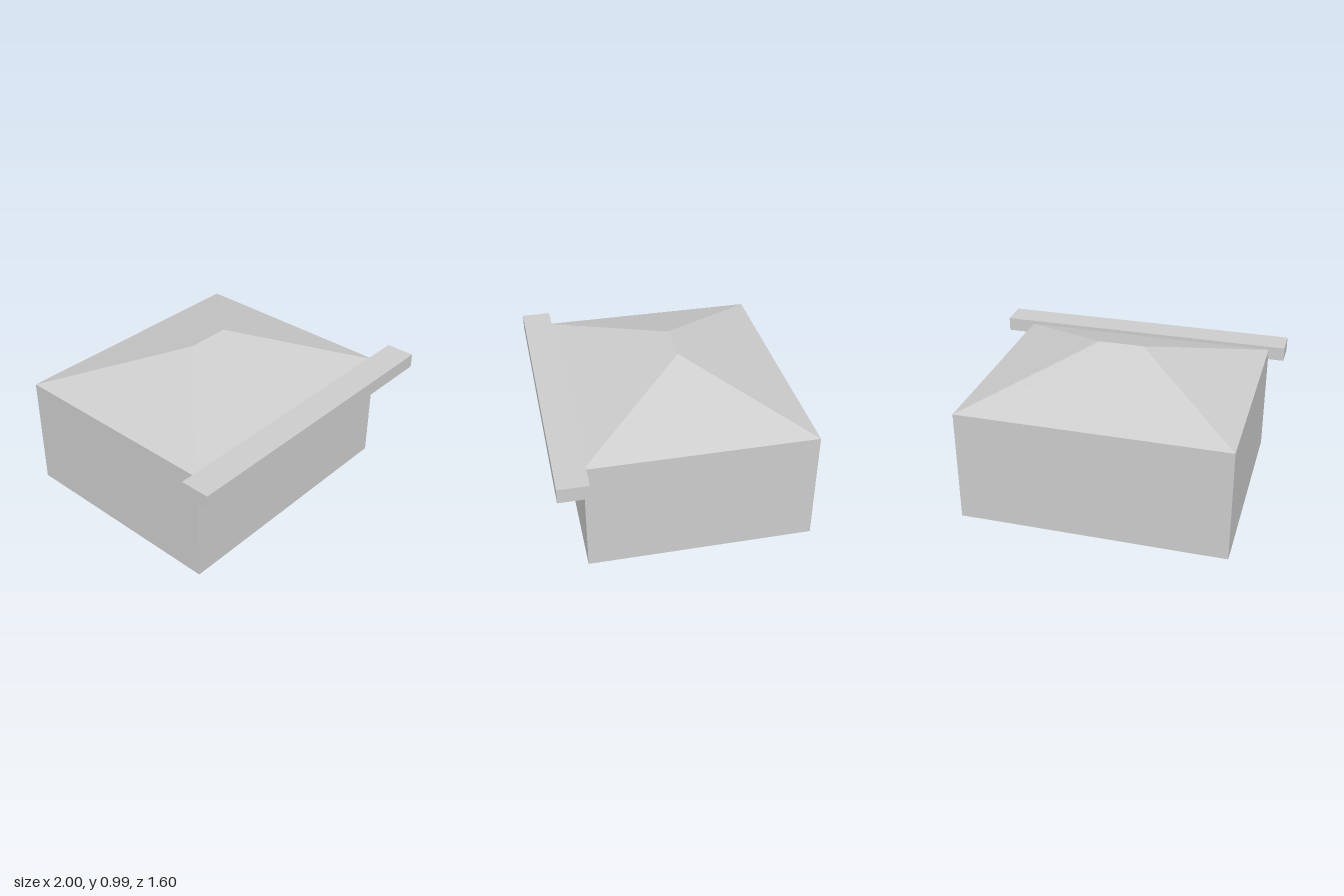
import * as THREE from 'three';

const grey = new THREE.MeshStandardMaterial({ color: 0xcccccc, side: THREE.DoubleSide, flatShading: true });
grey.name = 'plain grey';

// Four corners of a level rectangle, anticlockwise as seen from the front left around
const ring = ([x0, x1, z0, z1], y) => [[x0, y, z1], [x1, y, z1], [x1, y, z0], [x0, y, z0]];

// Shell joining two rectangles, open below and optionally closed on top
function shell(name, lowRect, lowY, highRect, highY, capped = false) {
  const a = ring(lowRect, lowY), b = ring(highRect, highY);
  const tris = [];
  for (let i = 0; i < 4; i++) {
    const j = (i + 1) % 4;
    tris.push([a[i], a[j], b[j]], [a[i], b[j], b[i]]);
  }
  if (capped) tris.push([b[0], b[1], b[2]], [b[0], b[2], b[3]]);
  // Drop triangles that collapse where the roof meets its ridge
  const solid = tris.filter((t) => new THREE.Triangle(...t.map((p) => new THREE.Vector3(...p))).getArea() > 1e-6);
  const geometry = new THREE.BufferGeometry();
  geometry.setAttribute('position', new THREE.Float32BufferAttribute(solid.flat(2), 3));
  geometry.computeVertexNormals();
  const mesh = new THREE.Mesh(geometry, grey);
  mesh.name = name;
  return mesh;
}

export function createModel() {
  const model = new THREE.Group();
  model.name = 'hippedRoofBuilding';

  const plan = [-0.893, 0.818, -0.8, 0.626];
  const ridge = [-0.18, 0.105, -0.087, -0.087];
  const beam = [-1, 1, 0.612, 0.8];

  model.add(
    shell('walls', plan, 0, plan, 0.734),
    shell('hippedRoof', plan, 0.734, ridge, 0.99),
    // Hollow front canopy, slightly sunk into the front wall
    shell('frontCanopy', beam, 0.67, beam, 0.763, true),
  );
  return model;
}
